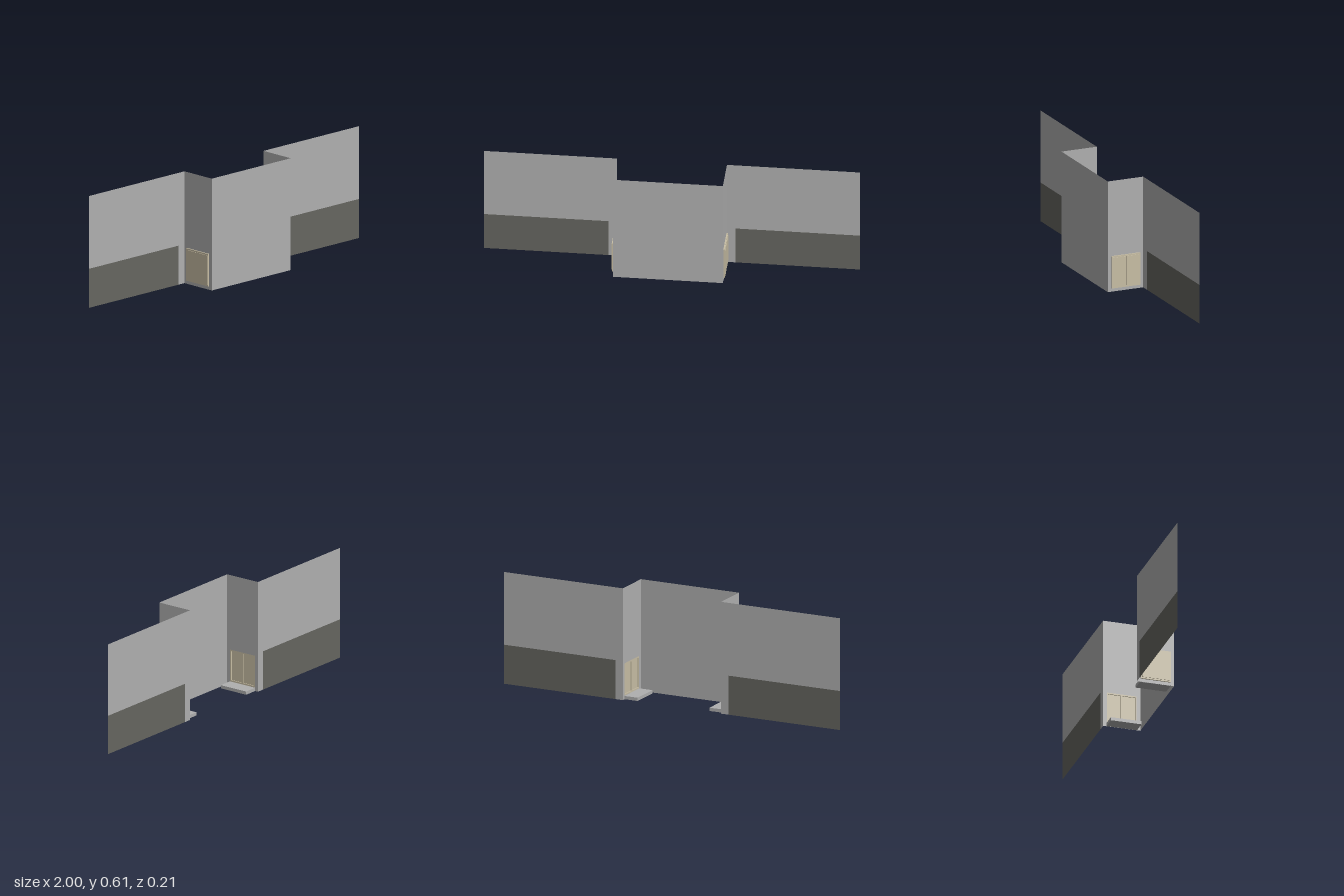
import * as THREE from 'three';

const HEIGHT = 0.613, FRONT = 0.103, BACK = -0.103;
const CORNER = 0.292, BAND_START = 0.337, BAND_TOP = 0.214;
const SILL = 0.019, DOOR_TOP = 0.197, DOOR_HALF = 0.083;

const wallGrey = new THREE.MeshStandardMaterial({ color: 0xb0b0b0, side: THREE.DoubleSide });
const bandGrey = new THREE.MeshStandardMaterial({ color: 0x666660, side: THREE.DoubleSide });
const doorTan = new THREE.MeshStandardMaterial({ color: 0xc9bfa5 });
wallGrey.name = 'wall grey';
bandGrey.name = 'base band dark grey';
doorTan.name = 'door tan';

function add(parent, name, geometry, material, x = 0, y = 0, z = 0) {
  const mesh = new THREE.Mesh(geometry, material);
  mesh.name = name;
  mesh.position.set(x, y, z);
  parent.add(mesh);
  return mesh;
}

// Thin upright sheet facing z
function sheet(parent, name, x0, x1, y0, y1, z, material) {
  return add(parent, name, new THREE.PlaneGeometry(x1 - x0, y1 - y0), material,
    (x0 + x1) / 2, (y0 + y1) / 2, z);
}

function rectangle(Type, a0, a1, b0, b1) {
  return new Type([[a0, b0], [a1, b0], [a1, b1], [a0, b1]].map(([a, b]) => new THREE.Vector2(a, b)));
}

// One wing with its return wall, double door and step, on the +x or -x side
function createSide(sign) {
  const side = new THREE.Group();
  side.name = sign > 0 ? 'leftSide' : 'rightSide';
  const span = (a, b) => (sign > 0 ? [a, b] : [-b, -a]);

  // Wing wall with the dark base band set into it
  sheet(side, 'wingWall', ...span(CORNER, 1), BAND_TOP, HEIGHT, BACK, wallGrey);
  sheet(side, 'wingCorner', ...span(CORNER, BAND_START), 0, BAND_TOP, BACK, wallGrey);
  sheet(side, 'baseBand', ...span(BAND_START, 1), 0, BAND_TOP, BACK, bandGrey);

  // Return wall with the door opening
  const wall = rectangle(THREE.Shape, BACK, FRONT, 0, HEIGHT);
  wall.holes.push(rectangle(THREE.Path, -DOOR_HALF, DOOR_HALF, SILL, DOOR_TOP));
  add(side, 'returnWall', new THREE.ShapeGeometry(wall), wallGrey, sign * CORNER)
    .rotation.y = sign * Math.PI / 2;

  // Door frame and its two slightly raised leaves
  const frame = rectangle(THREE.Shape, -DOOR_HALF, DOOR_HALF, SILL, DOOR_TOP);
  for (const s of [-1, 1]) {
    const [z0, z1] = s > 0 ? [0.004, 0.076] : [-0.076, -0.004];
    frame.holes.push(rectangle(THREE.Path, z0, z1, 0.027, 0.189));
    add(side, 'doorLeaf', new THREE.BoxGeometry(0.005, 0.162, 0.072), doorTan,
      sign * (CORNER + 0.0075), 0.108, s * 0.04);
  }
  add(side, 'doorFrame', new THREE.ExtrudeGeometry(frame, { depth: 0.007, bevelEnabled: false }),
    doorTan, sign * CORNER).rotation.y = sign * Math.PI / 2;

  // Step slab on the inner side of the door
  add(side, 'stepSlab', new THREE.BoxGeometry(0.079, SILL - 0.001, 0.17), wallGrey,
    sign * (CORNER - 0.0385), SILL / 2, 0);
  return side;
}

export function createModel() {
  const model = new THREE.Group();
  model.name = 'facade';
  sheet(model, 'centreWall', -CORNER, CORNER, 0, HEIGHT, FRONT, wallGrey);
  model.add(createSide(1), createSide(-1));
  return model;
}
